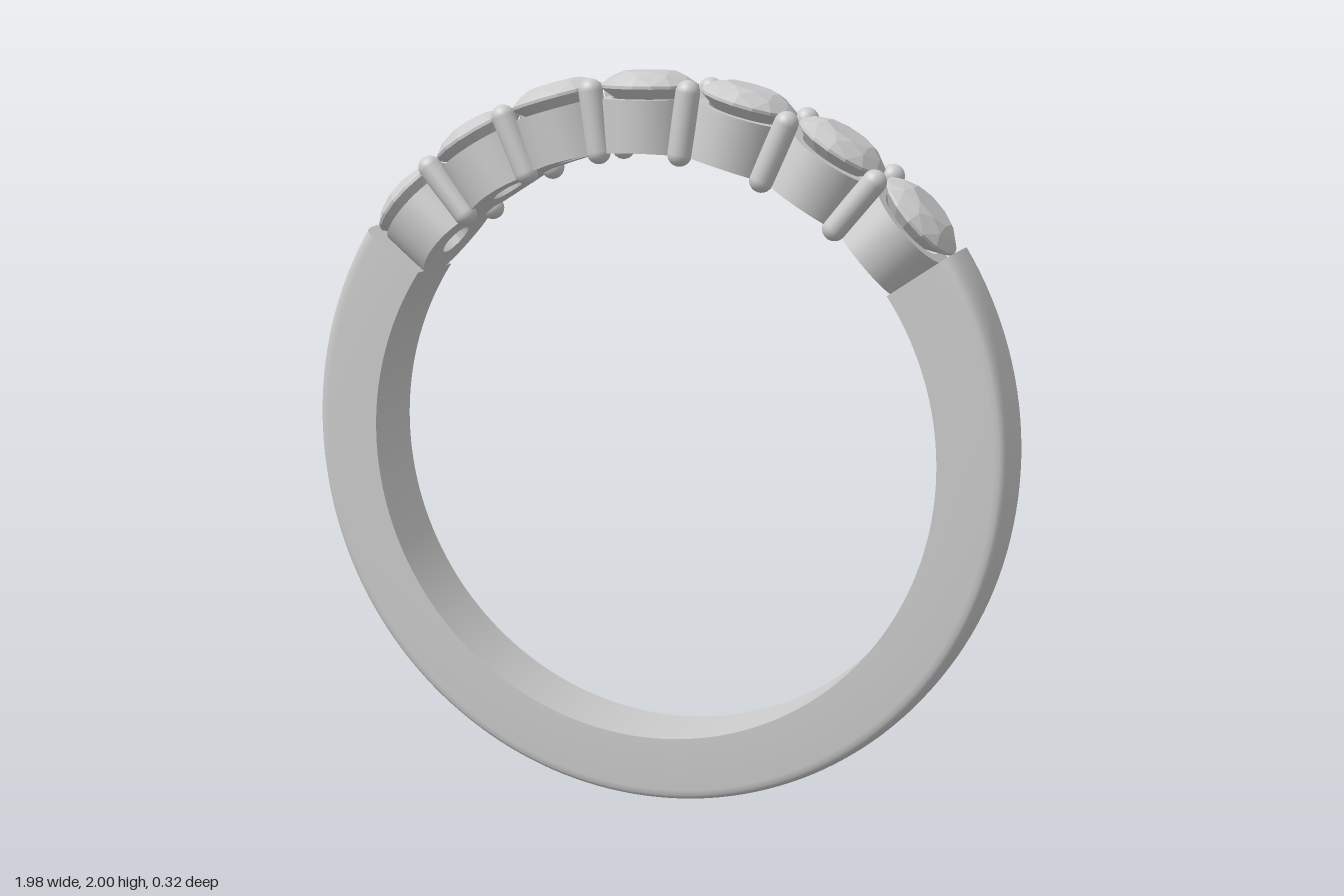
import * as THREE from 'three';
import { toCreasedNormals } from 'three/addons/utils/BufferGeometryUtils.js';
import { ConvexGeometry } from 'three/addons/geometries/ConvexGeometry.js';

const CY = 0.99;            // height of the ring's centre
const RI = 0.803, RO = 0.989; // inner and outer radius of the band
const STEP = 16;            // degrees between stones
const END = 55.6;           // where the band stops, degrees from the top
const rad = THREE.MathUtils.degToRad;
const material = new THREE.MeshStandardMaterial({ color: 0xcccccc });

function addMesh(parent, geometry, name) {
  const mesh = new THREE.Mesh(geometry, material);
  mesh.name = name;
  parent.add(mesh);
  return mesh;
}

// Domed cross-section swept around the ring, thickening slightly at its ends
function bandGeometry() {
  const zMid = -0.033, half = 0.105, shoulder = 0.95;
  const profile = [[RI, zMid - half]];
  for (let i = 0; i <= 16; i++) {
    const a = Math.PI * (1 - i / 16);
    profile.push([
      shoulder + (RO - shoulder) * Math.pow(Math.sin(a), 0.6),
      zMid + half * Math.sign(Math.cos(a)) * Math.pow(Math.abs(Math.cos(a)), 0.8),
    ]);
  }
  profile.push([RI, zMid + half]);

  const n = profile.length, segments = 120;
  const positions = [], index = [];
  for (let i = 0; i <= segments; i++) {
    const deg = END + (360 - 2 * END) * i / segments;
    const t = Math.max(0, (Math.abs(deg - 180) - 80) / (100 - END));
    for (const [r, z] of profile) {
      const R = r + 0.018 * Math.pow(t, 1.5) * (r - RI) / (RO - RI);
      positions.push(R * Math.sin(rad(deg)), CY + R * Math.cos(rad(deg)), z);
    }
  }
  for (let i = 0; i < segments; i++) {
    for (let j = 0; j < n; j++) {
      const k = (j + 1) % n;
      const a = i * n + j, b = i * n + k, c = a + n, d = b + n;
      index.push(a, b, d, a, d, c);
    }
  }
  // Flat end caps
  const last = segments * n;
  for (let j = 1; j < n - 1; j++) {
    index.push(0, j + 1, j, last, last + j, last + j + 1);
  }
  const geometry = new THREE.BufferGeometry();
  geometry.setAttribute('position', new THREE.Float32BufferAttribute(positions, 3));
  geometry.setIndex(index);
  return toCreasedNormals(geometry, rad(35));
}

// Open cup whose underside follows the finger hole
function cupGeometry() {
  const profile = [
    [0.048, 0], [0.09, 0], [0.127, 0], [0.131, 0.94], [0.1, 0.94],
    [0.048, 0.87], [0.048, 0],
  ].map(([r, y]) => new THREE.Vector2(r, y));
  const geometry = new THREE.LatheGeometry(profile, 48);
  const p = geometry.attributes.position;
  for (let i = 0; i < p.count; i++) {
    if (p.getY(i) < 0.5) p.setY(i, Math.sqrt(RI * RI - p.getX(i) ** 2));
  }
  return toCreasedNormals(geometry, rad(35));
}

// Round brilliant cut: table, crown, girdle and pointed pavilion
function stoneGeometry() {
  const points = [new THREE.Vector3(0, -0.1, 0)];
  const ring = (count, r, y, turn) => {
    for (let i = 0; i < count; i++) {
      const a = (i + turn) * 2 * Math.PI / count;
      points.push(new THREE.Vector3(r * Math.sin(a), y, r * Math.cos(a)));
    }
  };
  ring(8, 0.07, 0.037, 0.5);
  ring(8, 0.102, 0.024, 0);
  ring(16, 0.129, 0.002, 0);
  ring(16, 0.129, -0.006, 0);
  return new ConvexGeometry(points);
}

export function createModel() {
  const ring = new THREE.Group();
  ring.name = 'ring';
  addMesh(ring, bandGeometry(), 'band');

  const cup = cupGeometry();
  const stone = stoneGeometry();
  const prong = new THREE.CapsuleGeometry(0.032, 0.16, 8, 20);

  // Group turned about the ring's centre, so its y axis points outward
  const radialGroup = (name, deg, z) => {
    const group = new THREE.Group();
    group.name = name;
    group.position.set(0, CY, z);
    group.rotation.z = -rad(deg);
    ring.add(group);
    return group;
  };
  // The row of stones drifts backward toward both ends
  const drift = (step) => 0.027 - 0.0205 * Math.abs(step);

  // Seven stones in their cups
  for (let i = -3; i <= 3; i++) {
    const setting = radialGroup('setting', i * STEP, drift(i));
    addMesh(setting, cup, 'cup');
    addMesh(setting, stone, 'stone').position.y = 0.973;
  }

  // A front and a back prong between each two stones
  for (let i = -2.5; i <= 2.5; i++) {
    const pair = radialGroup('prongPair', i * STEP, drift(i));
    for (const side of [1, -1]) {
      addMesh(pair, prong, side > 0 ? 'frontProng' : 'backProng')
        .position.set(0, 0.889, side * 0.09);
    }
  }
  return ring;
}
